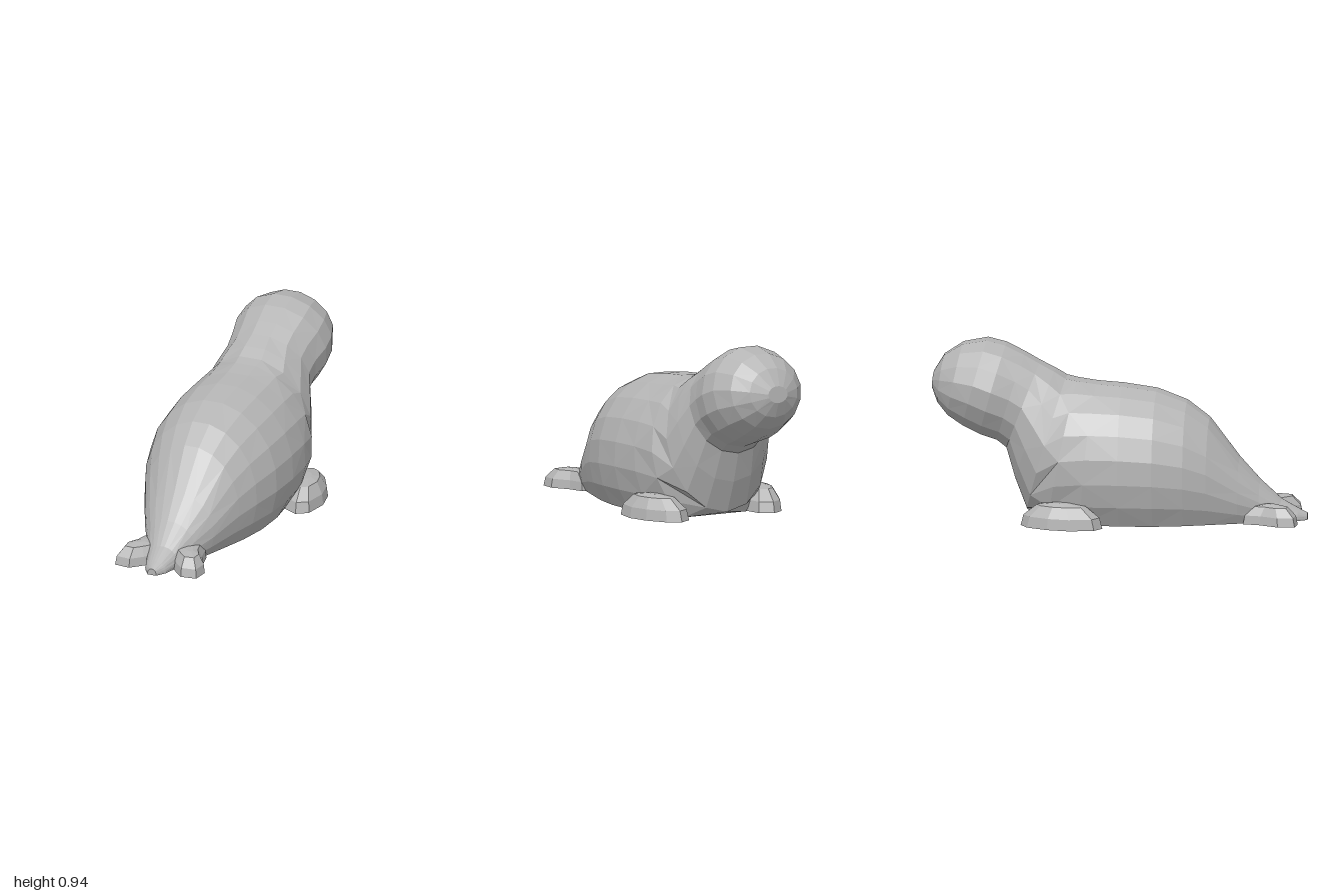
import * as THREE from 'three';

const hide = new THREE.MeshStandardMaterial({ color: 0xb4b4b4 });
hide.name = 'grey hide';
hide.flatShading = true;

// Skin a list of equal-length point rings, closing both ends with fans.
function loft(rings, name) {
  const n = rings[0].length, pos = rings.flat(2), idx = [];
  const centre = (ring) => {
    const c = [0, 1, 2].map((k) => ring.reduce((s, p) => s + p[k], 0) / n);
    pos.push(...c);
    return pos.length / 3 - 1;
  };
  const last = (rings.length - 1) * n;
  const c0 = centre(rings[0]), c1 = centre(rings[rings.length - 1]);
  for (let j = 0; j < n; j++) {
    const k = (j + 1) % n;
    for (let i = 0; i < last; i += n) {
      const a = i + j, b = i + k, c = i + n + k, d = i + n + j;
      if ((i / n + j) % 2) idx.push(a, d, b, b, d, c);
      else idx.push(a, d, c, a, c, b);
    }
    idx.push(c0, j, k, c1, last + k, last + j);
  }
  const indexed = new THREE.BufferGeometry();
  indexed.setAttribute('position', new THREE.Float32BufferAttribute(pos, 3));
  indexed.setIndex(idx);
  const geo = indexed.toNonIndexed();
  geo.computeVertexNormals();
  const mesh = new THREE.Mesh(geo, hide);
  mesh.name = name;
  return mesh;
}

// Elliptical section between a top and a bottom point, cut flat at the ground.
function section([zt, yt, zb, yb, w], count = 16) {
  const my = (yt + yb) / 2, hy = (yt - yb) / 2;
  const mz = (zt + zb) / 2, hz = (zt - zb) / 2;
  const a0 = Math.asin(Math.max(-1, -my / hy));
  return Array.from({ length: count }, (_, j) => {
    const a = a0 + (Math.PI - 2 * a0) * j / (count - 1);
    return [w * Math.cos(a), Math.max(0, my + hy * Math.sin(a)), mz + hz * Math.sin(a)];
  });
}

// Flat-bottomed flipper domed over a ground outline of [x, z] points.
function flipper(outline, height, name, side) {
  const pts = outline.map(([x, z]) => [x * side, z]);
  if (side < 0) pts.reverse();
  const cx = pts.reduce((s, p) => s + p[0], 0) / pts.length;
  const cz = pts.reduce((s, p) => s + p[1], 0) / pts.length;
  const rings = [[1, 0], [0.93, 0.45], [0.6, 0.9], [0.2, 1]].map(([s, h]) =>
    pts.map(([x, z]) => [cx + (x - cx) * s, h * height, cz + (z - cz) * s]));
  return loft(rings, name);
}

export function createModel() {
  const model = new THREE.Group();
  model.name = 'seal';

  // Body, neck and head: top z, top y, bottom z, bottom y, half width
  const spine = [
    [1.0, 0.035, 1.0, -0.02, 0.025],
    [0.95, 0.06, 0.95, -0.04, 0.06],
    [0.86, 0.11, 0.86, -0.05, 0.09],
    [0.75, 0.21, 0.75, -0.06, 0.14],
    [0.64, 0.33, 0.64, -0.08, 0.20],
    [0.48, 0.54, 0.48, -0.12, 0.275],
    [0.36, 0.63, 0.36, -0.14, 0.325],
    [0.20, 0.69, 0.20, -0.15, 0.37],
    [0.02, 0.715, 0.02, -0.15, 0.385],
    [-0.12, 0.725, -0.20, -0.13, 0.375],
    [-0.22, 0.74, -0.38, -0.07, 0.35],
    [-0.28, 0.755, -0.49, 0.03, 0.31],
    [-0.34, 0.79, -0.555, 0.20, 0.28],
    [-0.42, 0.83, -0.60, 0.36, 0.245],
    [-0.50, 0.875, -0.65, 0.40, 0.25],
    [-0.60, 0.925, -0.74, 0.43, 0.27],
    [-0.70, 0.95, -0.83, 0.475, 0.262],
    [-0.83, 0.925, -0.91, 0.53, 0.22],
    [-0.93, 0.86, -0.965, 0.60, 0.15],
    [-0.985, 0.77, -0.995, 0.68, 0.06],
  ];
  model.add(loft(spine.map((s) => section(s)), 'body'));

  const front = [[0.22, -0.46], [0.29, -0.5], [0.36, -0.46], [0.42, -0.35], [0.445, -0.23],
    [0.42, -0.1], [0.36, -0.06], [0.28, -0.1], [0.2, -0.28]];
  const tail = [[0.05, 0.68], [0.17, 0.67], [0.19, 0.76], [0.245, 0.86], [0.235, 0.95],
    [0.15, 0.96], [0.09, 0.9], [0.02, 0.82]];
  for (const [side, label] of [[1, 'left'], [-1, 'right']]) {
    model.add(flipper(front, 0.13, label + 'FrontFlipper', side));
    model.add(flipper(tail, 0.105, label + 'TailFlipper', side));
  }
  return model;
}
